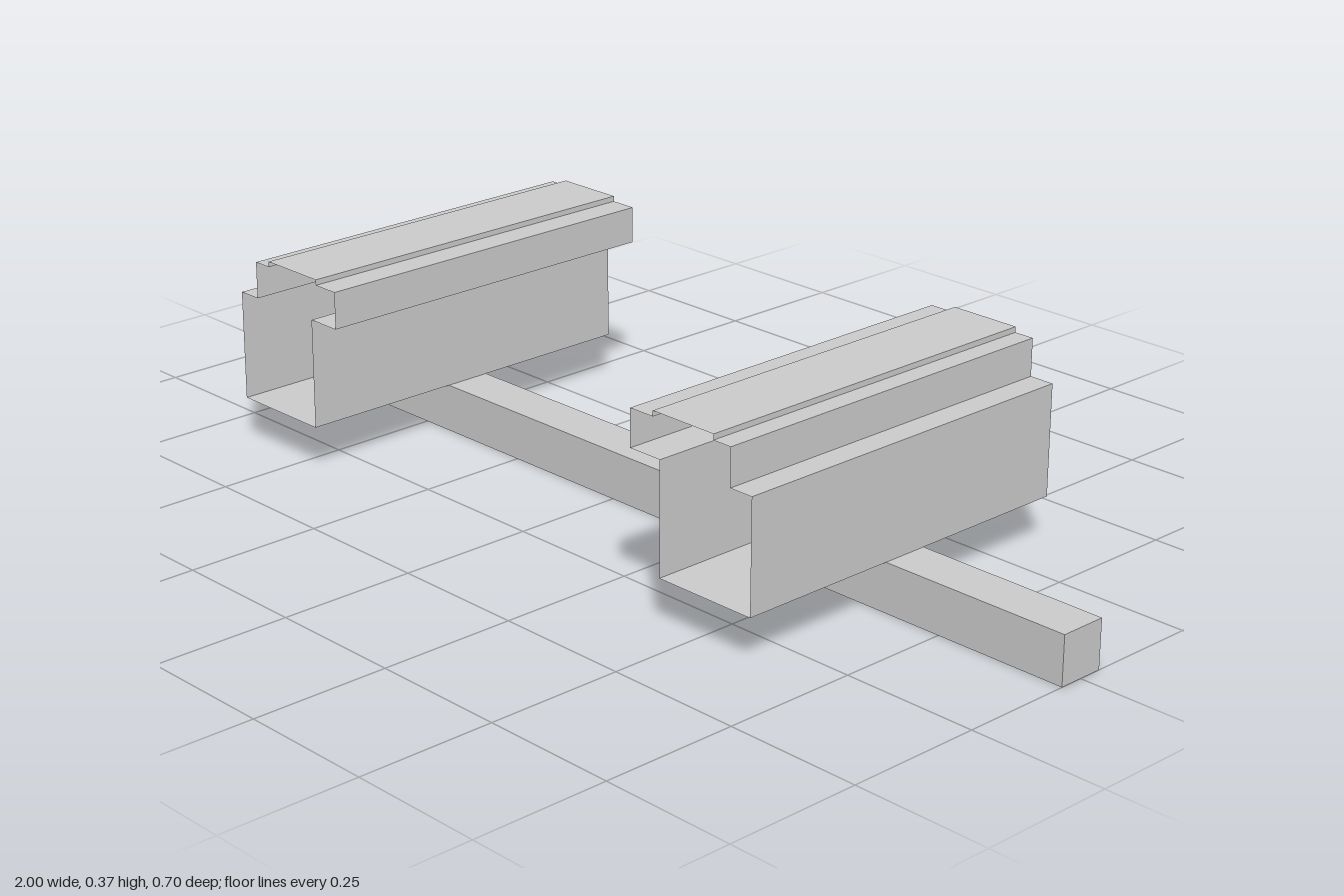
import * as THREE from 'three';

const HALF_LENGTH = 0.348;
const BAR = 0.088;

// Cross-section of the left channel, counter-clockwise seen from the front
const PROFILE = [
  [0.436, 0.088], [0.636, 0.088], // floor
  [0.636, 0.288], [0.59, 0.288], // outer wall and ledge
  [0.59, 0.355], [0.553, 0.355], [0.553, 0.365], // raised top with stepped edges
  [0.42, 0.365], [0.42, 0.355], [0.369, 0.355],
  [0.369, 0.288], [0.436, 0.288], // overhanging lip
];

// Sweeps a closed profile along z as a thin sheet with open ends
function sheetTube(profile, h) {
  const pos = [];
  profile.forEach(([ax, ay], i) => {
    const [bx, by] = profile[(i + 1) % profile.length];
    pos.push(ax, ay, h, ax, ay, -h, bx, by, -h);
    pos.push(ax, ay, h, bx, by, -h, bx, by, h);
  });
  const geo = new THREE.BufferGeometry();
  geo.setAttribute('position', new THREE.Float32BufferAttribute(pos, 3));
  geo.computeVertexNormals();
  return geo;
}

export function createModel() {
  const model = new THREE.Group();
  model.name = 'channelsOnBar';
  const solid = new THREE.MeshStandardMaterial({ color: 0xcccccc });
  const sheet = new THREE.MeshStandardMaterial({ color: 0xcccccc, side: THREE.DoubleSide });

  // Long square bar on the ground
  const bar = new THREE.Mesh(new THREE.BoxGeometry(2, BAR, BAR), solid);
  bar.name = 'crossBar';
  bar.position.y = BAR / 2;
  model.add(bar);

  // Mirrored pair of sheet channels resting on the bar
  for (const side of [1, -1]) {
    const profile = PROFILE.map(([x, y]) => [x * side, y]);
    if (side < 0) profile.reverse();
    const channel = new THREE.Mesh(sheetTube(profile, HALF_LENGTH), sheet);
    channel.name = side > 0 ? 'leftChannel' : 'rightChannel';
    model.add(channel);
  }
  return model;
}
